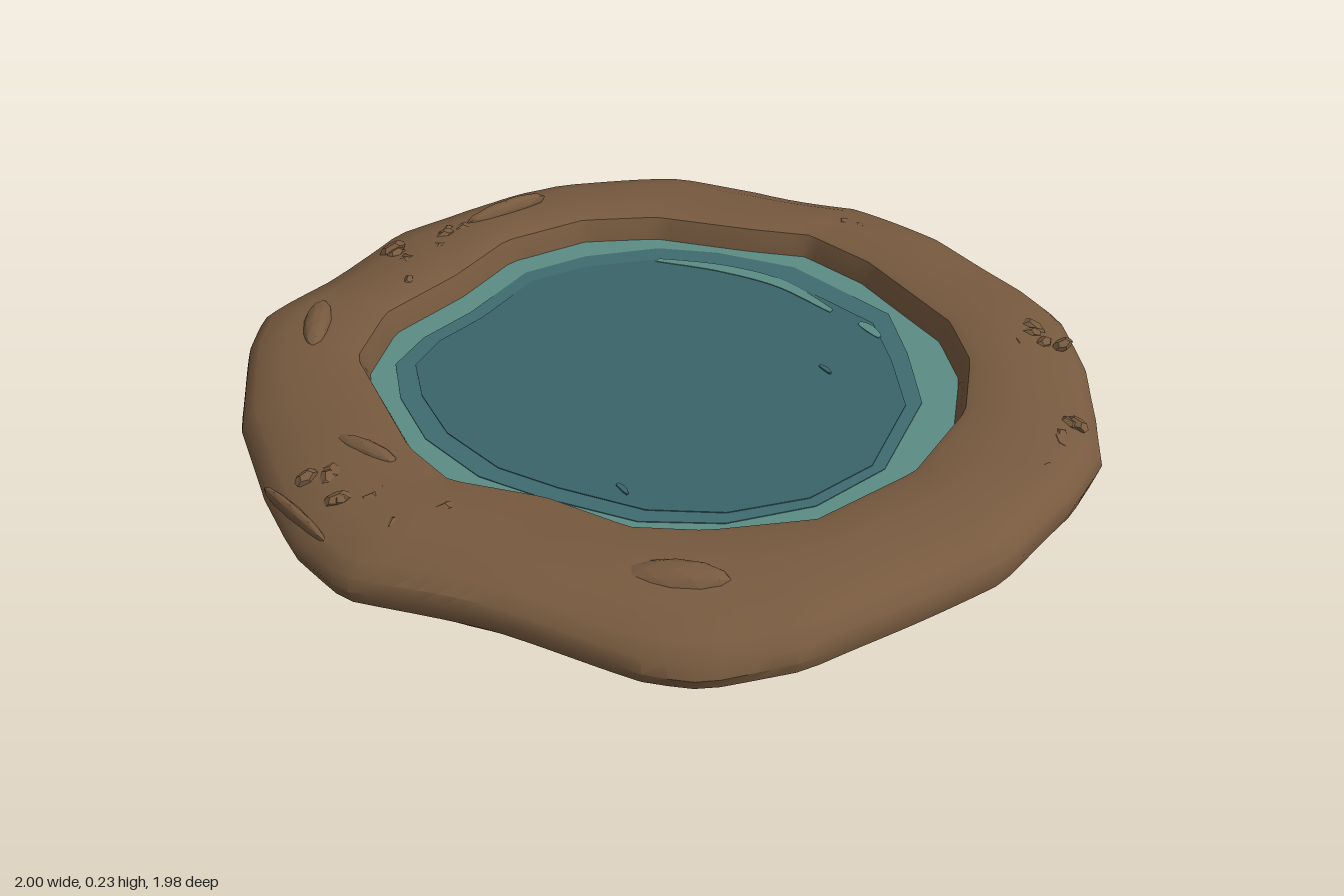
import * as THREE from 'three';
import { toCreasedNormals } from 'three/addons/utils/BufferGeometryUtils.js';

const mat = (name, color) => {
  const m = new THREE.MeshStandardMaterial({ color });
  m.name = name;
  return m;
};

// Outlines seen from above, as x, z pairs
const OUTER = [-.04, -1, .25, -.95, .55, -.83, .67, -.76, .81, -.6, .91, -.43, .98, -.29, 1, -.11, .98, .18, .89, .4,
  .79, .63, .66, .78, .56, .83, .25, .9, -.07, .99, -.25, .95, -.41, .87, -.66, .71, -.85, .51, -.93, .39, -.95, .19,
  -.98, .03, -1, -.13, -.94, -.29, -.88, -.51, -.81, -.63, -.55, -.86, -.34, -.94];
const INNER = [-.03, -.71, .17, -.67, .48, -.52, .6, -.39, .69, -.19, .71, .08, .63, .34, .47, .5, .34, .58, .14, .6,
  -.06, .67, -.21, .63, -.56, .43, -.65, .24, -.64, 0, -.66, -.22, -.57, -.43, -.42, -.56, -.17, -.65];
const DEEP = [-.02, -.62, .3, -.55, .43, -.41, .56, -.24, .62, .04, .57, .24, .45, .4, .3, .5, .09, .55, -.07, .57,
  -.26, .53, -.42, .44, -.53, .34, -.56, .21, -.55, .05, -.57, -.19, -.5, -.35, -.37, -.5, -.23, -.57];

const pairs = (a) => Array.from({ length: a.length / 2 }, (_, i) => new THREE.Vector2(a[2 * i], a[2 * i + 1]));

// Distance from the centre to an outline in a given direction
function radiusAt(outline, angle) {
  const dx = Math.cos(angle), dz = Math.sin(angle);
  for (let i = 0; i < outline.length; i++) {
    const p = outline[i], q = outline[(i + 1) % outline.length];
    const cp = dx * p.y - dz * p.x, cq = dx * q.y - dz * q.x;
    if (cp <= 0 && cq > 0) {
      const t = cp / (cp - cq);
      const r = (p.x + (q.x - p.x) * t) * dx + (p.y + (q.y - p.y) * t) * dz;
      if (r > 0) return r;
    }
  }
  return 0.7;
}

// Closed ring of earth: one cross-section swept around the centre
function bankGeometry() {
  const outer = pairs(OUTER), inner = pairs(INNER), n = 128, pos = [], idx = [];
  let rows = 0;
  for (let i = 0; i < n; i++) {
    const a = (i / n) * Math.PI * 2 + 0.003;
    const ri = radiusAt(inner, a), ro = radiusAt(outer, a);
    const w = Math.sin(5 * a + 1) * 0.6 + Math.sin(9 * a + 2.3) * 0.4;
    const v = Math.sin(7 * a + 0.4) * 0.5 + Math.sin(13 * a) * 0.5;
    const at = (t) => ri + (ro - ri) * t;
    const section = [
      [ri - 0.03, 0.028], [ri - 0.028, 0.12], [ri, 0.193], [ri + 0.02, 0.2],
      [at(0.35), 0.2 + 0.003 * v], [at(0.65), 0.19 + 0.007 * w], [at(0.88), 0.167 + 0.012 * w],
      [at(0.975), 0.14 + 0.016 * w], [ro, 0.112 + 0.02 * w], [at(0.97), 0.08 + 0.012 * w],
      [at(0.86), 0.062 + 0.008 * v], [at(0.5), 0.038 + 0.004 * v],
    ];
    rows = section.length;
    for (const [r, y] of section) pos.push(r * Math.cos(a), y, r * Math.sin(a));
  }
  for (let i = 0; i < n; i++) {
    for (let j = 0; j < rows; j++) {
      const i2 = (i + 1) % n, j2 = (j + 1) % rows;
      const p = i * rows + j, q = i2 * rows + j, r = i2 * rows + j2, s = i * rows + j2;
      idx.push(p, q, r, p, r, s);
    }
  }
  const g = new THREE.BufferGeometry();
  g.setAttribute('position', new THREE.Float32BufferAttribute(pos, 3));
  g.setIndex(idx);
  return toCreasedNormals(g, 0.6);
}

// Flat horizontal slab from an outline, its underside at height y
function slab(name, points, y, height, material, scale = 1) {
  const shape = new THREE.Shape(points.map((p) => new THREE.Vector2(p.x * scale, -p.y * scale)));
  const g = new THREE.ExtrudeGeometry(shape, { depth: height, bevelEnabled: false });
  g.rotateX(-Math.PI / 2).translate(0, y, 0);
  const m = new THREE.Mesh(g, material);
  m.name = name;
  return m;
}

// Curved streak tapering to both ends
function streak(pts, width) {
  const line = new THREE.SplineCurve(pairs(pts)).getPoints(16);
  const side = (s) => line.map((p, i) => new THREE.Vector2(p.x, p.y + s * width * (0.4 + 0.6 * Math.sin((Math.PI * i) / 16))));
  return [...side(-0.5), ...side(0.5).reverse()];
}

export function createModel() {
  const earth = mat('earth brown', 0x775a3f);
  const deep = mat('deep water', 0x396469);
  const mid = mat('middle water', 0x3e6c6f);
  const shallow = mat('shallow water', 0x5b8d85);
  const pond = new THREE.Group();
  pond.name = 'pond';

  const bank = new THREE.Mesh(bankGeometry(), earth);
  bank.name = 'earthBank';
  pond.add(bank);

  // Water body with darker plates above and below
  const rim = pairs(INNER).map((p) => p.multiplyScalar(1 - 0.018 / p.length()));
  const pool = pairs(DEEP);
  pond.add(slab('water', rim, 0.022, 0.116, shallow));
  pond.add(slab('middleWater', pool, 0.137, 0.003, mid));
  pond.add(slab('deepWater', pool.map((p) => new THREE.Vector2(p.x * 0.94 + 0.01, p.y * 0.9 + 0.01)), 0.139, 0.003, deep));
  pond.add(slab('waterUnderside', pool, 0.02, 0.004, deep, 0.95));

  // Shine streaks and small ripples
  pond.add(slab('longShine', streak([-.33, -.44, -.17, -.5, 0, -.52, .18, -.475], 0.04), 0.141, 0.003, shallow));
  pond.add(slab('shortShine', streak([.265, -.465, .3, -.455, .34, -.435], 0.03), 0.141, 0.003, shallow));
  for (const [x, z] of [[.31, -.23], [.21, .43]]) {
    pond.add(slab('ripple', streak([x - .02, z - .005, x, z, x + .02, z + .01], 0.014), 0.141, 0.005, deep));
  }

  // Drip under the front edge
  const drip = new THREE.Mesh(new THREE.SphereGeometry(0.02, 10, 8), shallow);
  drip.name = 'drip';
  drip.position.set(-0.17, 0.02, 0.59);
  pond.add(drip);

  // Stone flakes half sunk in the bank: x, z, length, width, turn, top height
  const flakes = [
    [-.77, -.35, .25, .05, 1.25, .228], [-.75, .37, .24, .07, -.85, .22], [.5, .65, .22, .08, .5, .216],
    [-.28, .69, .2, .05, 0, .217], [-.31, -.81, .18, .035, 0, .19], [-.28, .9, .28, .03, -.25, .175],
  ];
  for (const [x, z, len, wide, turn, top] of flakes) {
    const g = new THREE.IcosahedronGeometry(0.5, 1);
    const m = new THREE.Mesh(toCreasedNormals(g, 0.5), earth);
    m.name = 'stoneFlake';
    m.scale.set(len, 0.06, wide);
    m.rotation.set(0.25, turn, 0.06, 'YXZ');
    m.position.set(x, top - 0.031, z);
    pond.add(m);
  }

  // Clusters of pebbles: centre x, z, spread in x and z, count, ground height
  let seed = 11;
  const rand = () => (seed = (seed * 16807) % 2147483647) / 2147483647;
  const clusters = [
    [-.82, -.07, .06, .14, 12, .183], [.86, -.2, .05, .16, 13, .172], [-.2, .8, .12, .05, 8, .183],
    [0, -.83, .06, .05, 7, .182], [.7, -.57, .05, .05, 5, .184], [-.01, .76, .03, .01, 1, .19],
    [-.05, .85, .01, .01, 1, .18], [-.71, .1, .01, .02, 1, .195],
  ];
  const pebble = new THREE.DodecahedronGeometry(0.5, 0);
  for (const [cx, cz, sx, sz, count, y] of clusters) {
    for (let i = 0; i < count; i++) {
      const m = new THREE.Mesh(pebble, earth);
      m.name = 'pebble';
      const size = 0.03 + 0.03 * rand();
      m.scale.set(size * 1.3, 0.03, size * 0.8);
      m.rotation.set(0.3 * rand(), 3 * rand(), 0.2 * rand());
      m.position.set(cx + (rand() * 2 - 1) * sx, y, cz + (rand() * 2 - 1) * sz);
      pond.add(m);
    }
  }
  return pond;
}
